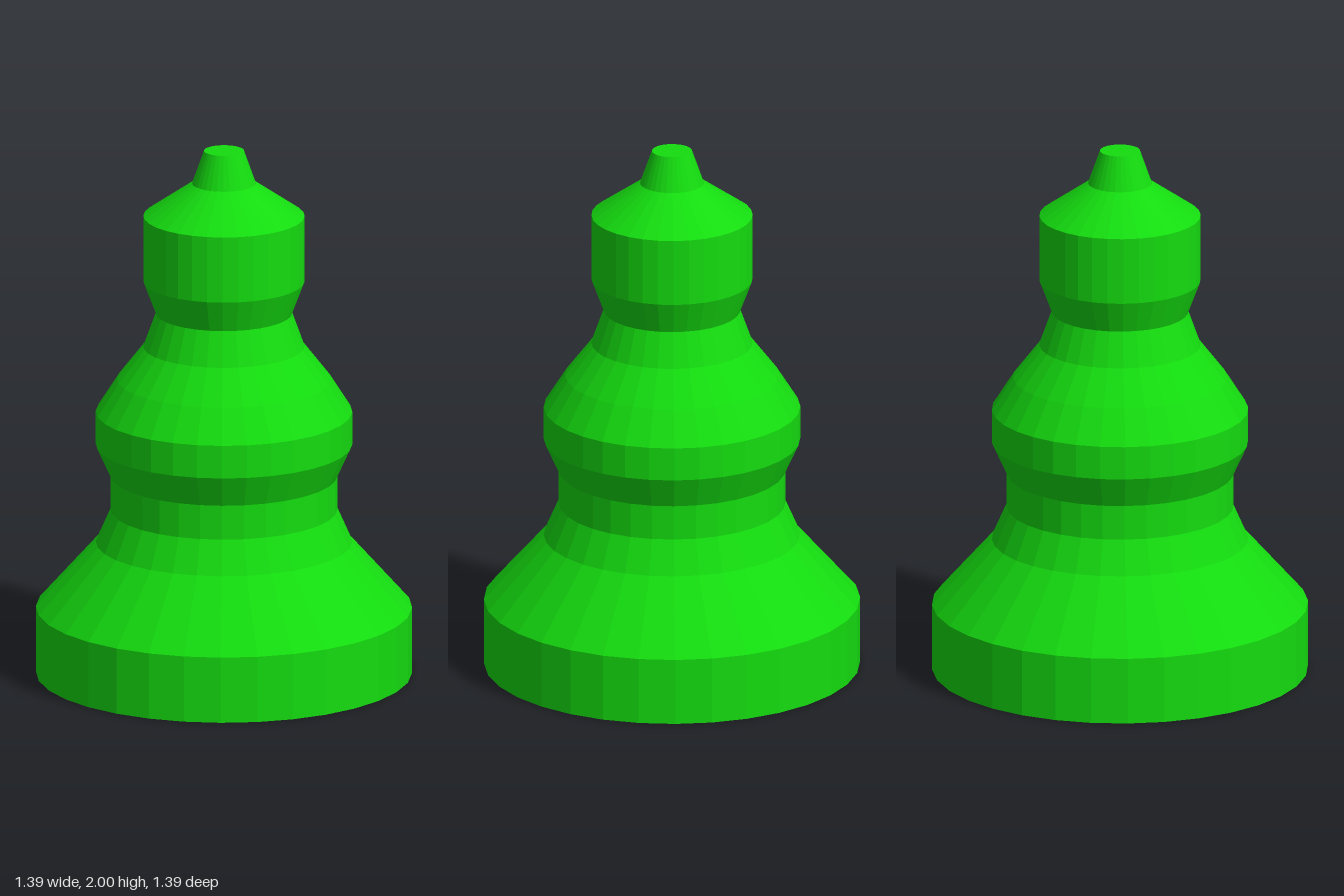
import * as THREE from 'three';

const SIDES = 32;

// Turned sections from bottom to top, as [radius, height]; neighbours share a rim
const SECTIONS = {
  base: [[0, 0], [0.695, 0], [0.695, 0.25]],
  foot: [[0.695, 0.25], [0.474, 0.5], [0.419, 0.625]],
  waist: [[0.419, 0.625], [0.419, 0.755]],
  body: [[0.419, 0.755], [0.474, 0.875], [0.474, 1], [0.395, 1.125], [0.298, 1.25]],
  neck: [[0.298, 1.25], [0.252, 1.378], [0.298, 1.5]],
  head: [[0.298, 1.5], [0.298, 1.75], [0.118, 1.875]],
  finial: [[0.118, 1.875], [0.074, 2], [0, 2]],
};

export function createModel() {
  const group = new THREE.Group();
  group.name = 'turnedGamePiece';
  const material = new THREE.MeshStandardMaterial({ color: 0x14dc0f, flatShading: true });

  for (const [name, profile] of Object.entries(SECTIONS)) {
    const points = profile.map(([r, y]) => new THREE.Vector2(r, y));
    const mesh = new THREE.Mesh(new THREE.LatheGeometry(points, SIDES), material);
    mesh.name = name;
    group.add(mesh);
  }
  return group;
}
